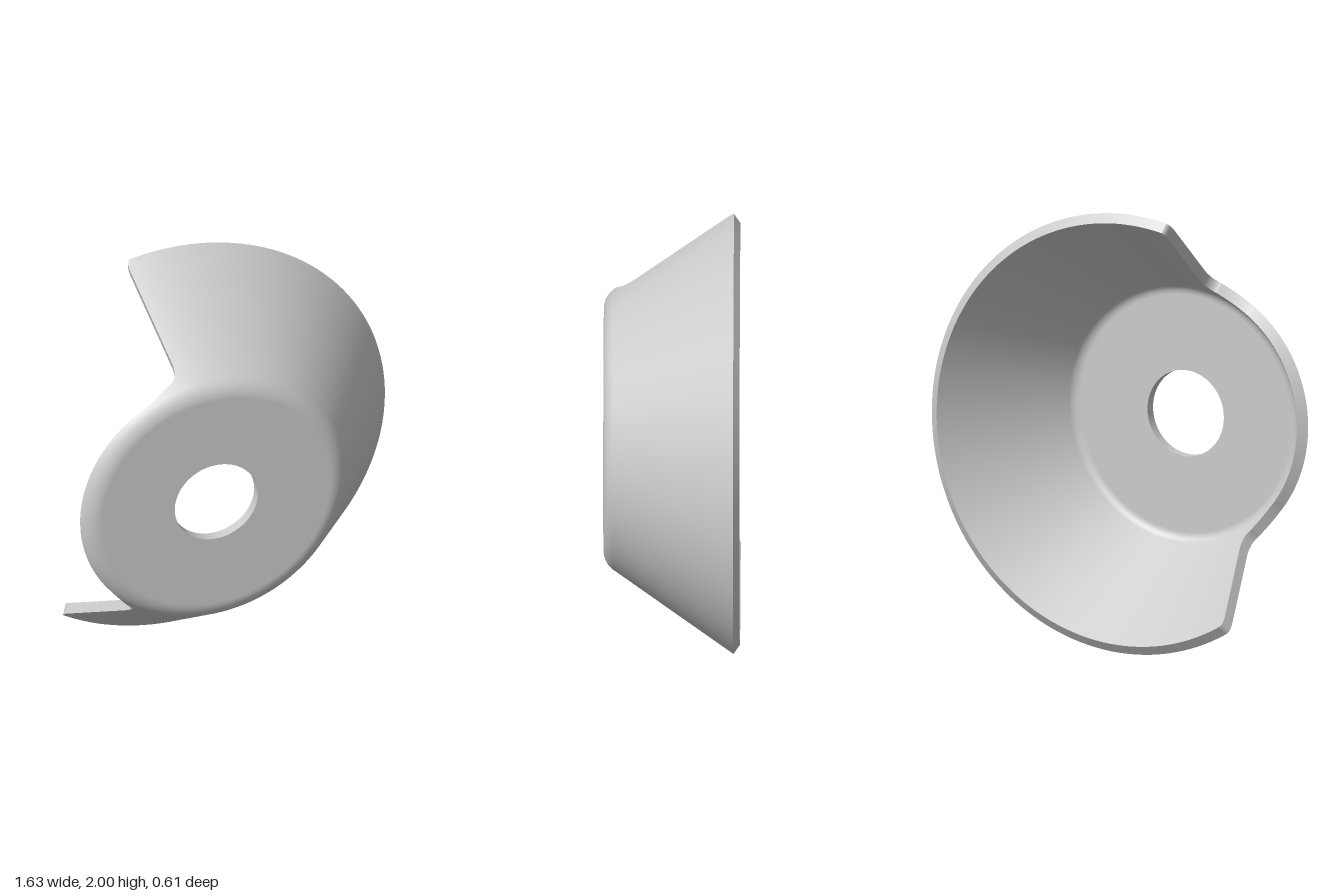
import * as THREE from 'three';

const HOLE = 0.196, FLAT = 0.54, RIM = 1, FRONT_Z = 0.305, THICK = 0.05;
const SLOPE = THREE.MathUtils.degToRad(55.1); // cone wall against the flat hub
const BEND = 0.055 / Math.tan(SLOPE / 2);     // radius of the bend between them
const BEND_END = FLAT + BEND * Math.sin(SLOPE);
const rad = THREE.MathUtils.degToRad;
const polar = (r, deg) => [r * Math.cos(rad(deg)), r * Math.sin(rad(deg))];

// Wall profile: depth and tilt of the front surface at radius r
function profile(r) {
  const tilt = r <= FLAT ? 0 : Math.min(SLOPE, Math.asin(Math.min(1, (r - FLAT) / BEND)));
  let z = FRONT_Z - BEND * (1 - Math.cos(tilt));
  if (r > BEND_END) z -= (r - BEND_END) * Math.tan(SLOPE);
  return { z, tilt };
}

// Point on the wall, moved inward through the thickness by depth
function wallPoint(r, angle, depth) {
  const { z, tilt } = profile(r);
  const q = r - depth * Math.sin(tilt);
  return [q * Math.cos(angle), q * Math.sin(angle), z - depth * Math.cos(tilt)];
}

// Outer outline seen along the axis: full rim, then a sector cut back to the hub
function outline() {
  const top = 103, low = -122.3, end = low + 360;
  const s = new THREE.Path();
  s.moveTo(...polar(0.965, low));
  s.quadraticCurveTo(...polar(RIM, low), ...polar(RIM, low + 1.6));
  s.absarc(0, 0, RIM, rad(low + 1.6), rad(top - 1.6), false);
  s.quadraticCurveTo(...polar(RIM, top), ...polar(0.965, top));
  s.lineTo(...polar(0.7, top));
  s.quadraticCurveTo(...polar(0.655, top), ...polar(0.647, top + 5));
  s.quadraticCurveTo(...polar(0.635, top + 11), ...polar(0.627, top + 22));
  s.absarc(0, 0, 0.627, rad(top + 22), rad(end - 22), false);
  s.quadraticCurveTo(...polar(0.635, end - 11), ...polar(0.647, end - 5));
  s.quadraticCurveTo(...polar(0.655, end), ...polar(0.7, end));
  s.lineTo(...polar(0.965, low));
  return s.getPoints(48).map((p) => ({ r: Math.min(p.length(), RIM), a: Math.atan2(p.y, p.x) }));
}

// Strip mesh between columns of points; flip reverses the facing side
function gridGeometry(columns, flip, normals) {
  const rows = columns[0].length, index = [];
  for (let j = 0; j < columns.length - 1; j++) {
    for (let i = 0; i < rows - 1; i++) {
      const a = j * rows + i, b = a + 1, d = a + rows, c = d + 1;
      if (flip) index.push(a, c, b, a, d, c);
      else index.push(a, b, c, a, c, d);
    }
  }
  const g = new THREE.BufferGeometry();
  g.setAttribute('position', new THREE.Float32BufferAttribute(columns.flat(2), 3));
  g.setIndex(index);
  if (normals) g.setAttribute('normal', new THREE.Float32BufferAttribute(normals.flat(2), 3));
  else g.computeVertexNormals();
  return g;
}

export function createModel() {
  const group = new THREE.Group();
  group.name = 'cutawayCone';
  const material = new THREE.MeshStandardMaterial({ color: 0xcccccc });
  const add = (name, geometry) => {
    const mesh = new THREE.Mesh(geometry, material);
    mesh.name = name;
    group.add(mesh);
  };

  const edge = outline();
  const radii = [HOLE, 0.37, FLAT];
  for (let i = 1; i <= 10; i++) radii.push(FLAT + BEND * Math.sin((SLOPE * i) / 10));
  for (let i = 1; i <= 8; i++) radii.push(BEND_END + ((RIM - BEND_END) * i) / 8);

  // Front and back faces of the shell, trimmed to the outline
  const face = (depth, sign) => {
    const each = (f) => edge.map(({ r, a }) => radii.map((q) => f(Math.min(q, r), a)));
    const normals = each((r, a) => {
      const { tilt } = profile(r), s = Math.sin(tilt) * sign;
      return [s * Math.cos(a), s * Math.sin(a), Math.cos(tilt) * sign];
    });
    return gridGeometry(each((r, a) => wallPoint(r, a, depth)), sign < 0, normals);
  };
  add('outerFace', face(0, 1));
  add('innerFace', face(THICK, -1));

  // Thin edge bands around the outline and inside the hole
  const band = (radius, flip) => gridGeometry(
    edge.map(({ r, a }) => [0, THICK].map((d) => wallPoint(radius ?? r, a, d))), flip);
  add('outerEdge', band(null, false));
  add('holeEdge', band(HOLE, true));

  group.position.set(-0.185, 1, 0);
  const model = new THREE.Group();
  model.add(group);
  return model;
}
